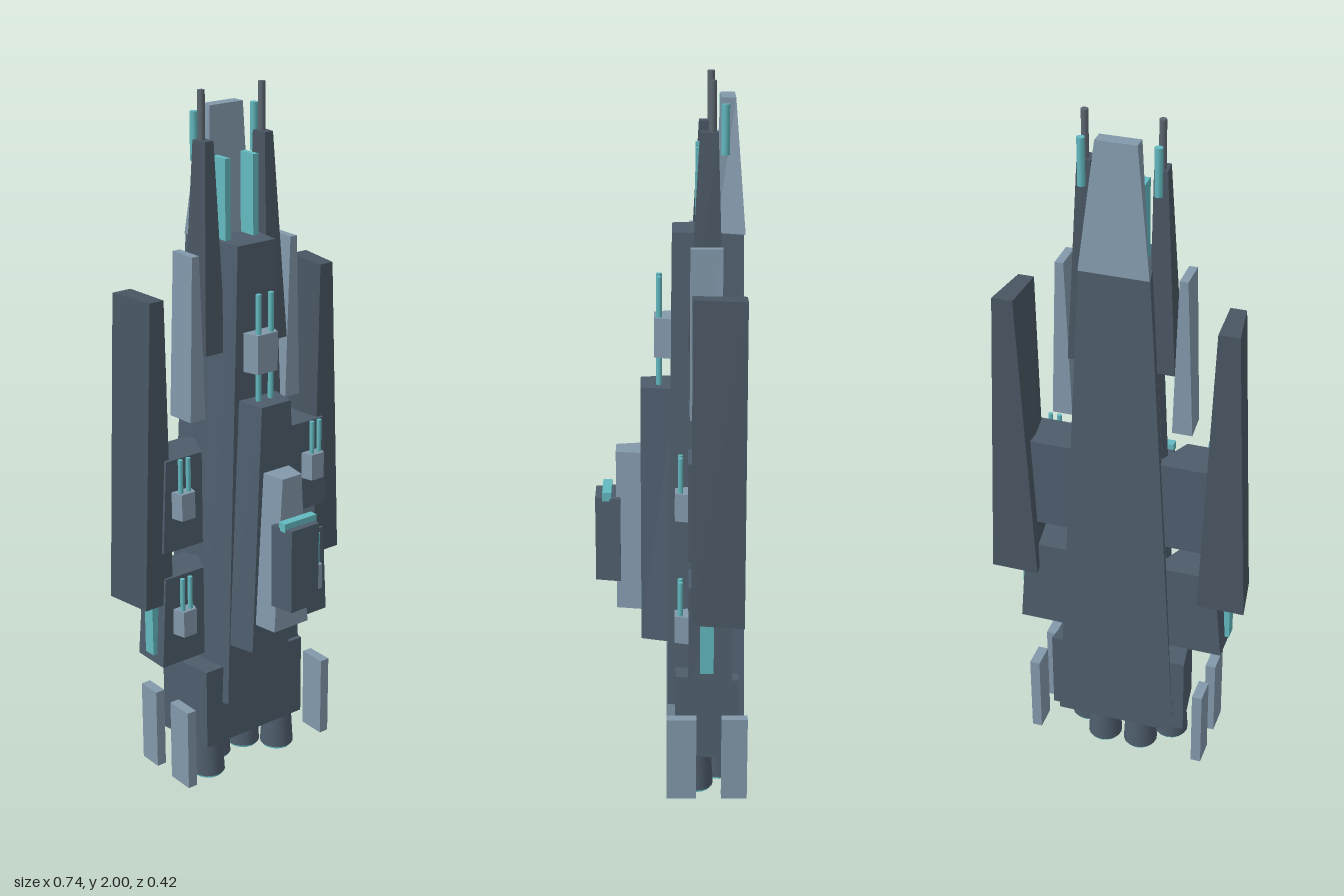
import * as THREE from 'three';

const mat = (name, color) => {
  const m = new THREE.MeshStandardMaterial({ color });
  m.name = name;
  return m;
};

// Lofted block between two heights; a section is [zBack, x0, x1, zFront, x0, x1]
function loft(y0, bottom, y1, top) {
  const ring = ([zb, b0, b1, zf, f0, f1], y) => [[b0, y, zb], [f0, y, zf], [f1, y, zf], [b1, y, zb]];
  const lo = ring(bottom, y0), hi = ring(top, y1), pos = [];
  const quad = (a, b, c, d) => pos.push(...a, ...b, ...c, ...a, ...c, ...d);
  for (let i = 0; i < 4; i++) {
    const j = (i + 1) % 4;
    quad(lo[i], lo[j], hi[j], hi[i]);
  }
  quad(hi[0], hi[1], hi[2], hi[3]);
  quad(lo[3], lo[2], lo[1], lo[0]);
  const g = new THREE.BufferGeometry();
  g.setAttribute('position', new THREE.Float32BufferAttribute(pos, 3));
  g.computeVertexNormals();
  return g;
}

// Section symmetric about x = 0, and a section mirrored to the other side
const sym = (zb, b, zf, f) => [zb, -b, b, zf, -f, f];
const flip = ([zb, b0, b1, zf, f0, f1]) => [zb, -b1, -b0, zf, -f1, -f0];

export function createModel() {
  const hull = mat('slate hull', 0x4e5d6c);
  const wingDark = mat('dark slate', 0x485562);
  const light = mat('pale blue grey', 0x8298ab);
  const glow = mat('teal glow', 0x62b9c0);
  const steel = mat('steel', 0x5c6670);

  const model = new THREE.Group();
  model.name = 'spaceship';
  const add = (name, geo, material) => {
    const m = new THREE.Mesh(geo, material);
    m.name = name;
    model.add(m);
    return m;
  };
  const block = (name, material, y0, bottom, y1, top = bottom) =>
    add(name, loft(y0, bottom, y1, top), material);
  const pair = (name, material, y0, bottom, y1, top = bottom) => {
    block(name + 'Left', material, y0, bottom, y1, top);
    block(name + 'Right', material, y0, flip(bottom), y1, flip(top));
  };
  const rod = (name, material, x, z, y0, y1, rTop, rBottom = rTop, sides = 8) =>
    add(name, new THREE.CylinderGeometry(rTop, rBottom, y1 - y0, sides), material)
      .position.set(x, (y0 + y1) / 2, z);

  // Central hull
  block('keel', hull, 0.12, sym(-0.207, 0.175, -0.1, 0.138), 1.6, sym(-0.19, 0.095, -0.1, 0.076));
  block('spine', hull, 0.25, sym(-0.1, 0.135, 0.01, 0.115), 1.6, sym(-0.1, 0.076, -0.003, 0.063));
  block('engineBlock', hull, 0.12, sym(-0.188, 0.2, -0.012, 0.175), 0.365);
  block('nose', light, 1.6, sym(-0.195, 0.095, -0.118, 0.068), 1.95, sym(-0.168, 0.055, -0.13, 0.055));

  // Command tower
  block('towerBase', hull, 0.44, sym(0, 0.107, 0.083, 0.083), 1.17, sym(-0.01, 0.066, 0.083, 0.05));
  block('towerDeck', light, 0.525, sym(0.08, 0.072, 0.152, 0.06), 0.98, sym(0.08, 0.045, 0.152, 0.033));
  block('bridge', hull, 0.605, sym(0.14, 0.062, 0.21, 0.048), 0.85);
  block('bridgeWindow', glow, 0.842, sym(0.165, 0.056, 0.19, 0.056), 0.867);

  // Spine turret
  block('spineTurret', light, 1.25, sym(0, 0.048, 0.046, 0.034), 1.36);
  for (const x of [-0.021, 0.021]) rod('spineBarrel', glow, x, 0.032, 1.17, 1.47, 0.008);

  // Paired structures
  pair('wing', wingDark, 0.6, [-0.195, 0.235, 0.37, -0.055, 0.255, 0.348],
    1.48, [-0.195, 0.275, 0.333, -0.055, 0.268, 0.312]);
  pair('prong', wingDark, 1.3, [-0.14, 0.075, 0.147, -0.045, 0.072, 0.14],
    1.87, [-0.122, 0.082, 0.118, -0.075, 0.085, 0.113]);
  pair('shoulderFin', light, 1.12, [-0.135, 0.14, 0.196, -0.05, 0.14, 0.19],
    1.58, [-0.135, 0.155, 0.178, -0.05, 0.155, 0.178]);
  pair('noseLight', glow, 1.6, [-0.12, 0.038, 0.056, -0.065, 0.038, 0.056], 1.82);
  pair('podLight', glow, 0.44, [-0.115, 0.28, 0.311, -0.078, 0.28, 0.311], 0.6);
  pair('tailFinFront', light, 0.03, [-0.07, 0.233, 0.262, 0.013, 0.233, 0.262], 0.275);
  pair('tailFinBack', light, 0.03, [-0.212, 0.233, 0.262, -0.14, 0.233, 0.262], 0.275);
  pair('upperPod', hull, 0.76, [-0.165, 0.1, 0.275, -0.045, 0.158, 0.292], 1.03,
    [-0.165, 0.1, 0.265, -0.045, 0.158, 0.278]);
  pair('lowerPod', hull, 0.41, [-0.165, 0.1, 0.3, -0.047, 0.155, 0.3], 0.68,
    [-0.165, 0.1, 0.278, -0.047, 0.155, 0.285]);

  // Pod turrets with twin barrels
  for (const y of [0.505, 0.86]) {
    pair('podTurret', light, y, [-0.047, 0.198, 0.262, -0.01, 0.208, 0.252], y + 0.078);
  }
  for (const s of [-1, 1]) {
    for (const x of [0.219, 0.245]) {
      rod('podBarrel', glow, s * x, -0.025, 0.56, 0.68, 0.007);
      rod('podBarrel', glow, s * x, -0.025, 0.92, 1.035, 0.007);
    }

    // Prong tips
    rod('prongTip', steel, s * 0.1, -0.107, 1.86, 2.0, 0.01);
    rod('prongEmitter', glow, s * 0.1, -0.14, 1.81, 1.94, 0.011);

    // Thrusters
    for (const [x, z] of [[0.13, -0.07], [0.055, -0.14]]) {
      rod('thruster', hull, s * x, z, 0.008, 0.125, 0.043, 0.05, 16);
      rod('thrusterGlow', glow, s * x, z, 0, 0.009, 0.044, 0.044, 16);
    }
  }
  return model;
}
